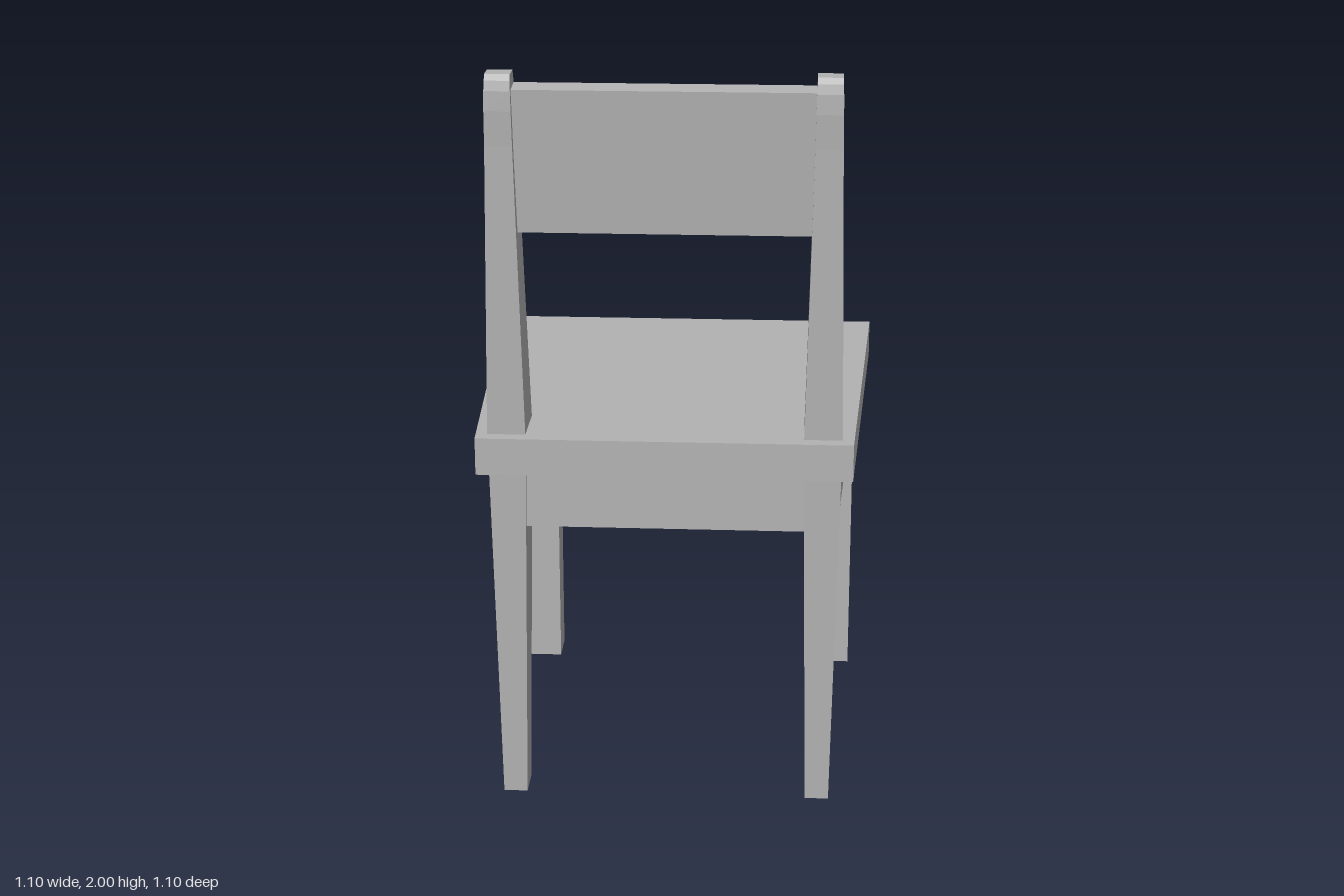
import * as THREE from 'three';

const grey = new THREE.MeshStandardMaterial({ color: 0xb2b2b2 });
grey.name = 'grey';

// Flat board with a plan outline of [x, z] corners between two heights
function board(corners, y0, y1) {
  const shape = new THREE.Shape(corners.map(([x, z]) => new THREE.Vector2(x, z)));
  const geo = new THREE.ExtrudeGeometry(shape, { depth: y1 - y0, bevelEnabled: false });
  return geo.rotateX(Math.PI / 2).translate(0, y1, 0);
}

// Post whose rectangular section follows rows of [y, x0, x1, z0, z1], bottom to top
function post(rows) {
  const n = rows.length - 1;
  const geo = new THREE.BoxGeometry(1, 1, 1, 1, n, 1).toNonIndexed();
  const p = geo.attributes.position;
  for (let i = 0; i < p.count; i++) {
    const [y, x0, x1, z0, z1] = rows[Math.round((p.getY(i) + 0.5) * n)];
    p.setXYZ(i, p.getX(i) < 0 ? x0 : x1, y, p.getZ(i) < 0 ? z0 : z1);
  }
  geo.computeVertexNormals();
  return geo;
}

// Tapered rear post from floor to rounded top: y, inner x, outer x, z toward seat, z behind
const rearProfile = [
  [0, 0.38, 0.444, 0.39, 0.48],
  [0.95, 0.363, 0.46, 0.36, 0.51],
  [1.05, 0.362, 0.462, 0.361, 0.513],
  [1.82, 0.377, 0.447, 0.439, 0.54],
  [1.91, 0.378, 0.446, 0.45, 0.546],
  [1.96, 0.379, 0.445, 0.458, 0.545],
  [1.985, 0.38, 0.444, 0.465, 0.539],
  [2, 0.38, 0.444, 0.473, 0.53],
];

export function createModel() {
  const chair = new THREE.Group();
  chair.name = 'chair';
  const add = (name, geo) => {
    const mesh = new THREE.Mesh(geo, grey);
    mesh.name = name;
    chair.add(mesh);
  };

  // Seat, narrower at the backrest
  add('seat', board([[-0.55, -0.55], [0.55, -0.55], [0.49, 0.55], [-0.49, 0.55]], 0.95, 1.05));

  for (const [side, s] of [['left', 1], ['right', -1]]) {
    const span = (a, b) => (s > 0 ? [a, b] : [-b, -a]);
    // Rear leg and back upright in one piece
    add(`${side}RearPost`, post(rearProfile.map(([y, a, b, z0, z1]) => [y, ...span(a, b), z0, z1])));
    // Straight leg at the open side of the seat
    add(`${side}FrontLeg`, post([0, 0.95].map((y) => [y, ...span(0.378, 0.506), -0.517, -0.412])));
    // Side apron, following the slanted seat edge
    add(`${side}Apron`, board([[0.5, -0.42], [0.457, 0.4], [0.387, 0.4], [0.43, -0.42]].map(([x, z]) => [s * x, z]), 0.79, 0.95));
  }

  // Cross aprons
  add('frontApron', post([0.79, 0.95].map((y) => [y, -0.39, 0.39, -0.51, -0.44])));
  add('rearApron', post([0.79, 0.95].map((y) => [y, -0.375, 0.375, 0.43, 0.5])));

  // Leaning backrest panel
  const panel = new THREE.BoxGeometry(0.76, 0.373, 0.07);
  panel.rotateX(0.08).translate(0, 1.778, 0.481);
  add('backrest', panel);

  return chair;
}
